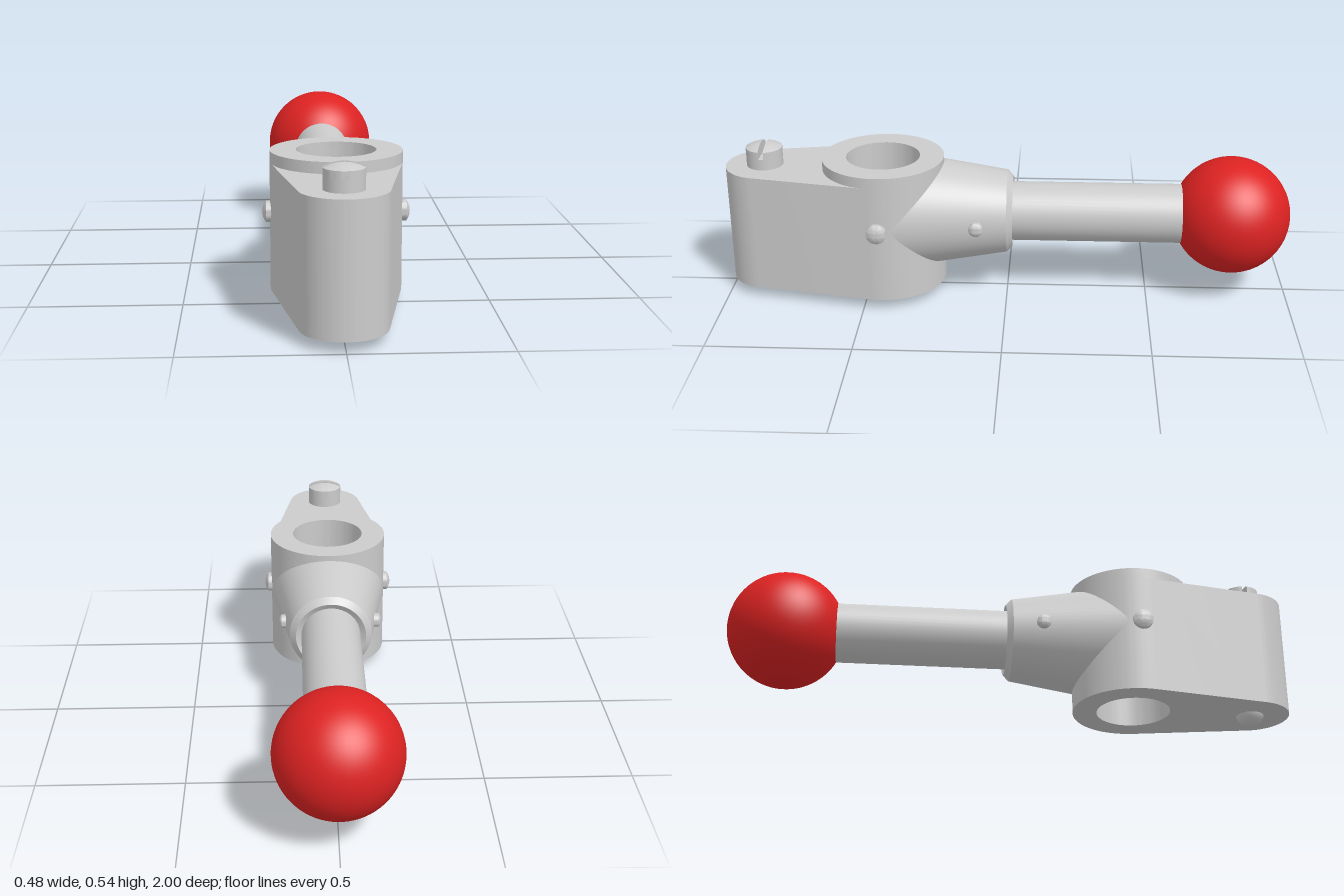
import * as THREE from 'three';
import { toCreasedNormals } from 'three/addons/utils/BufferGeometryUtils.js';

const grey = new THREE.MeshStandardMaterial({ color: 0xcccccc });
const red = new THREE.MeshStandardMaterial({ color: 0xdd2222 });

const AXIS_Y = 0.295; // height of handle and cross pins
const HUB_Z = 0.44, HUB_R = 0.215, BORE_R = 0.13;
const TIP_Z = 0.862, TIP_R = 0.138;

function add(group, name, geometry, material = grey) {
  const mesh = new THREE.Mesh(geometry, material);
  mesh.name = name;
  group.add(mesh);
  return mesh;
}

const lathe = (points, ...rest) =>
  new THREE.LatheGeometry(points.map(([r, y]) => new THREE.Vector2(r, y)), ...rest);

// Extrudes a plan outline (shape y becomes z) between two heights
function slab(shape, bottom, top) {
  const g = new THREE.ExtrudeGeometry(shape, { depth: top - bottom, bevelEnabled: false, curveSegments: 48 });
  g.rotateX(Math.PI / 2).translate(0, top, 0);
  return toCreasedNormals(g, 0.5);
}

function withBore(shape) {
  shape.holes.push(new THREE.Path().absarc(0, HUB_Z, BORE_R, 0, Math.PI * 2, true));
  return shape;
}

// Arc of a dome, from its rim to its apex
function dome(radius, base, height, steps = 6) {
  const R = (radius * radius + height * height) / (2 * height);
  return Array.from({ length: steps + 1 }, (_, i) => {
    const r = radius * (1 - i / steps);
    return [r, base + height - R + Math.sqrt(R * R - r * r)];
  });
}

// Tapered socket whose wide end follows the curve of the hub
function socketGeometry() {
  const n = 72, pos = [], index = [];
  const cone = z => 0.147 + 0.16 * z;
  for (let i = 0; i <= n; i++) {
    const a = (i / n) * Math.PI * 2, c = Math.cos(a), s = Math.sin(a);
    let end = 0.2;
    while (end < 0.42 && Math.hypot(cone(end) * c, end - HUB_Z) > HUB_R - 0.004) end += 0.002;
    for (const [r, z] of [[0.104, -0.008], [0.125, -0.02], [cone(0), 0], [cone(end), end]])
      pos.push(r * c, r * s, z);
  }
  for (let i = 0; i < n; i++)
    for (let j = 0; j < 3; j++) {
      const a = i * 4 + j, b = a + 4;
      index.push(a, b, b + 1, a, b + 1, a + 1);
    }
  const g = new THREE.BufferGeometry();
  g.setAttribute('position', new THREE.Float32BufferAttribute(pos, 3));
  g.setIndex(index);
  return toCreasedNormals(g, 0.5).translate(0, AXIS_Y, 0);
}

// Domed pin end pointing along +x or -x
function pinEnd(group, name, side, z, radius, from, rim, tip) {
  const g = toCreasedNormals(lathe([[radius, from], ...dome(radius, rim, tip - rim)], 28), 0.5);
  g.rotateZ(-side * Math.PI / 2).translate(0, AXIS_Y, z);
  add(group, name, g);
}

export function createModel() {
  const model = new THREE.Group();
  model.name = 'clampLever';

  // Clamp body: hub and rounded tip joined by tangent sides
  const t = Math.asin((HUB_R - TIP_R) / (TIP_Z - HUB_Z));
  const outline = new THREE.Shape();
  outline.absarc(0, TIP_Z, TIP_R, t, Math.PI - t, false);
  outline.absarc(0, HUB_Z, HUB_R, Math.PI - t, Math.PI * 2 + t, false);
  outline.closePath();
  add(model, 'clampBody', slab(withBore(outline), 0.036, 0.46));

  // Raised collar around the bore
  const ring = new THREE.Shape().absarc(0, HUB_Z, HUB_R, 0, Math.PI * 2, false);
  add(model, 'hubCollar', slab(withBore(ring), 0.46, 0.498));

  // Socket, handle and ball
  add(model, 'socket', socketGeometry());
  const rod = new THREE.CylinderGeometry(0.105, 0.105, 0.66, 48);
  add(model, 'handle', rod.rotateX(Math.PI / 2).translate(0, AXIS_Y, -0.32));
  const ball = add(model, 'ballKnob', new THREE.SphereGeometry(0.207, 56, 36), red);
  ball.position.set(0, AXIS_Y, -0.793);

  // Cross pin through the bore, and the domed pin ends
  const pin = new THREE.CylinderGeometry(0.034, 0.034, 0.4, 28);
  add(model, 'crossPin', pin.rotateZ(Math.PI / 2).translate(0, AXIS_Y, HUB_Z));
  for (const side of [1, -1]) {
    pinEnd(model, 'crossPinEnd', side, HUB_Z + 0.005, 0.035, 0.18, 0.228, 0.24);
    pinEnd(model, 'socketPinEnd', side, 0.105, 0.025, 0.12, 0.176, 0.187);
  }

  // Slotted screw: solid base plus two domed halves either side of the slot
  const screw = new THREE.Group();
  screw.name = 'slottedScrew';
  screw.position.z = TIP_Z;
  model.add(screw);
  const base = new THREE.CylinderGeometry(0.064, 0.064, 0.05, 40);
  add(screw, 'screwBase', base.translate(0, 0.475, 0));
  const profile = [[0.064, 0.5], ...dome(0.064, 0.526, 0.017)];
  const cut = new THREE.Shape([
    ...profile.map(([x, y]) => new THREE.Vector2(x, y)),
    ...profile.slice(0, -1).reverse().map(([x, y]) => new THREE.Vector2(-x, y)),
  ]);
  for (const turn of [0, Math.PI]) {
    const half = lathe(profile, 24, -Math.PI / 2, Math.PI);
    const p = half.attributes.position;
    for (let i = 0; i < p.count; i++) p.setZ(i, Math.max(p.getZ(i), 0.009));
    add(screw, 'screwHeadHalf', toCreasedNormals(half, 0.5)).rotation.y = turn;
    const wall = new THREE.ShapeGeometry(cut).translate(0, 0, -0.009);
    add(screw, 'slotWall', wall).rotation.y = turn + Math.PI;
    wall.translate(0, 0, 0);
  }

  // Rounded end of the screw under the body
  const foot = new THREE.SphereGeometry(0.051, 32, 20);
  add(model, 'screwFoot', foot.translate(0, 0.051, TIP_Z));

  return model;
}
